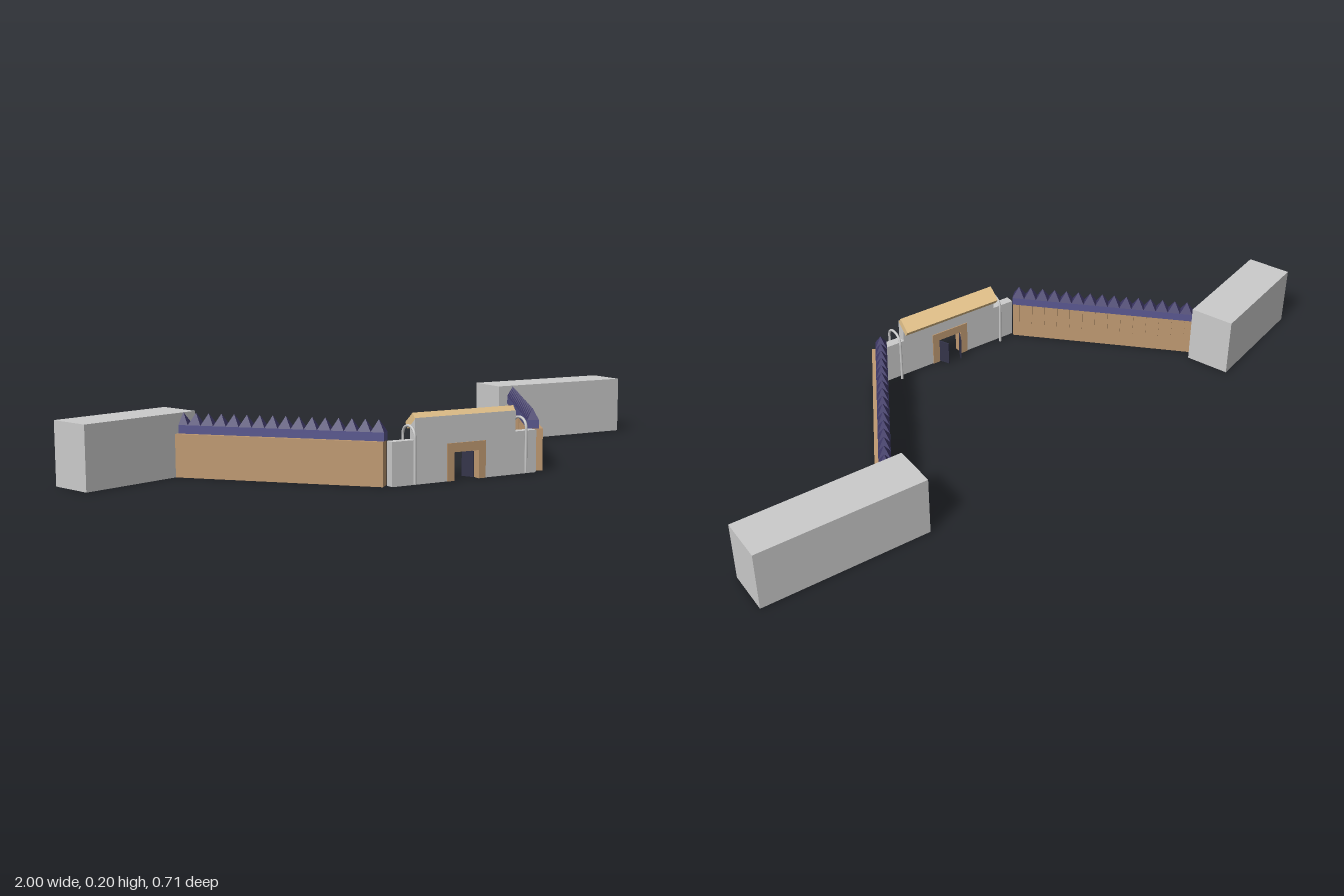
import * as THREE from 'three';

const mat = (color) => new THREE.MeshStandardMaterial({ color, flatShading: true });
const GREY = mat(0xcccccc), TAN = mat(0xc09a72), ROOF = mat(0xe6c48c);
const BLUE = mat(0x5a5890), SPIKE = mat(0x403a6a), DOOR = mat(0x34344a);

function add(parent, name, geometry, material, x = 0, y = 0, z = 0) {
  const mesh = new THREE.Mesh(geometry, material);
  mesh.name = name;
  mesh.position.set(x, y, z);
  parent.add(mesh);
  return mesh;
}
const box = (w, h, d) => new THREE.BoxGeometry(w, h, d);

// Spiked wall running along local x, outer side facing local +z
function spikedWall(name, length, x, z, angle) {
  const wall = new THREE.Group();
  wall.name = name;
  add(wall, 'panel', box(length, 0.123, 0.035), TAN, 0, 0.0615, 0);
  add(wall, 'beam', box(length, 0.024, 0.034), BLUE, 0, 0.135, -0.011);

  const spikes = 16, step = length / spikes;
  const spike = new THREE.ConeGeometry(Math.SQRT1_2, 0.034, 4);
  spike.rotateY(Math.PI / 4);
  spike.scale(step, 1, 0.034);
  for (let i = 0; i < spikes; i++) {
    add(wall, 'spike', spike, SPIKE, (i + 0.5 - spikes / 2) * step, 0.164, -0.011);
  }

  // Brackets under the overhanging beam on the inner side
  const ribs = 15, rib = box(0.005, 0.07, 0.009);
  for (let i = 0; i < ribs; i++) {
    add(wall, 'rib', rib, TAN, (i + 0.5 - ribs / 2) * length / ribs, 0.088, -0.0215);
  }
  wall.position.set(x, 0, z);
  wall.rotation.y = angle;
  return wall;
}

// Rectangular portal outline, open at the bottom
function portal(halfW, height, holeHalfW, holeHeight, depth) {
  const shape = new THREE.Shape([
    [-halfW, 0], [-holeHalfW, 0], [-holeHalfW, holeHeight], [holeHalfW, holeHeight],
    [holeHalfW, 0], [halfW, 0], [halfW, height], [-halfW, height],
  ].map(([x, y]) => new THREE.Vector2(x, y)));
  const geometry = new THREE.ExtrudeGeometry(shape, { depth, bevelEnabled: false });
  return geometry.translate(0, 0, -depth / 2);
}

function gatehouse() {
  const gate = new THREE.Group();
  gate.name = 'gatehouse';

  // Main wall, its top sloping down to the back under the roof
  const front = portal(0.165, 0.183, 0.042, 0.082, 0.027);
  const pos = front.attributes.position;
  for (let i = 0; i < pos.count; i++) {
    if (pos.getY(i) > 0.15 && pos.getZ(i) < 0) pos.setY(i, 0.163);
  }
  front.computeVertexNormals();
  add(gate, 'gateWall', front, GREY);
  add(gate, 'gateFrame', portal(0.063, 0.106, 0.04, 0.08, 0.033), TAN);

  // Slanted roof slab
  const roof = add(gate, 'roof', box(0.33, 0.021, 0.05), ROOF, 0, 0.173, -0.013);
  roof.rotation.x = -0.65;

  for (const side of [-1, 1]) {
    add(gate, 'sideWall', box(0.075, 0.123, 0.027), GREY, side * 0.1995, 0.0615, 0);

    // Door leaf swung inwards on its hinge
    const hinge = new THREE.Group();
    hinge.name = 'door';
    hinge.position.set(side * 0.039, 0, -0.008);
    hinge.rotation.y = side * -1.1;
    add(hinge, 'doorLeaf', box(0.038, 0.074, 0.004), DOOR, side * -0.019, 0.037, 0);
    gate.add(hinge);

    // Pipe arching over the side wall
    const path = new THREE.CurvePath();
    const v = (y, z) => new THREE.Vector3(0, y, z);
    path.add(new THREE.LineCurve3(v(0.006, 0.03), v(0.132, 0.03)));
    path.add(new THREE.CubicBezierCurve3(v(0.132, 0.03), v(0.171, 0.03), v(0.171, -0.036), v(0.132, -0.036)));
    path.add(new THREE.LineCurve3(v(0.132, -0.036), v(0.006, -0.036)));
    const pipe = new THREE.TubeGeometry(path, 48, 0.004, 8);
    const arch = add(gate, 'archPipe', pipe, GREY.clone(), side * 0.1825 + 0.0075, 0, 0);
    arch.material.flatShading = false;
    arch.material.side = THREE.DoubleSide;
  }
  gate.position.set(0.018, 0, 0.32);
  return gate;
}

export function createModel() {
  const model = new THREE.Group();
  model.name = 'fortifiedGate';
  model.add(gatehouse());
  model.add(spikedWall('leftWall', 0.6, 0.415, 0.053, 1.065));
  model.add(spikedWall('rightWall', 0.606, -0.444, 0.0975, -0.777));

  // Plain buildings at the far ends of the walls
  add(model, 'leftBuilding', box(0.5, 0.181, 0.135), GREY, 0.75, 0.0905, -0.286);
  const right = add(model, 'rightBuilding', box(0.376, 0.181, 0.135), GREY, -0.799, 0.0905, -0.126);
  right.rotation.y = 0.334;
  return model;
}
